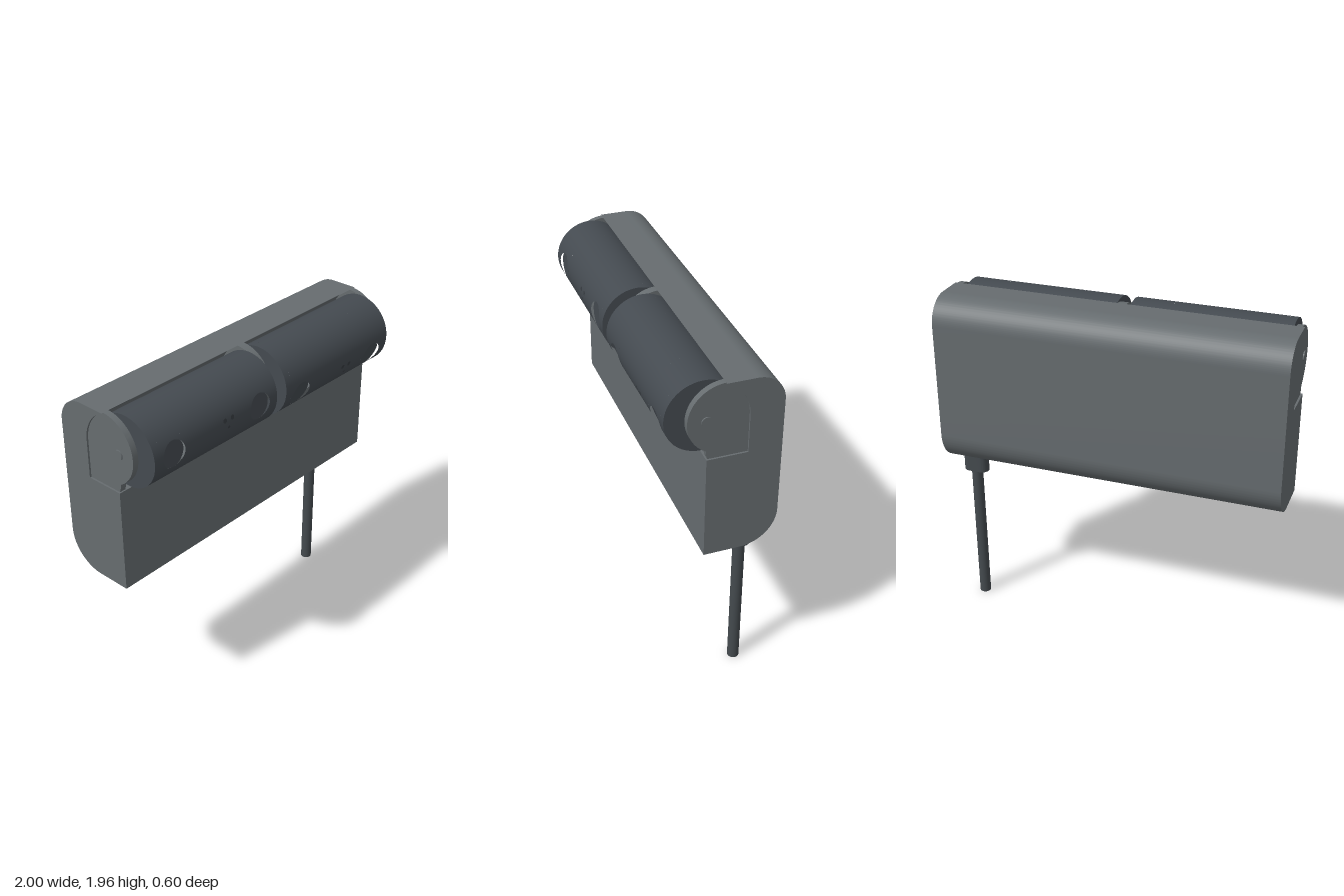
import * as THREE from 'three';
import { toCreasedNormals, mergeGeometries } from 'three/addons/utils/BufferGeometryUtils.js';

const R = 0.2;          // barrel radius
const LENS = 0.075;     // lens recess radius
const PATCH_X = 0.09;   // half width of the barrel patch around a lens
const PATCH_A = 0.45;   // half angle of that patch
const AXIS_Y = 1.76, AXIS_Z = 0.1;

const std = (name, color, side = THREE.FrontSide) => {
  const m = new THREE.MeshStandardMaterial({ color, side });
  m.name = name;
  return m;
};

// Extrude a (z, y) profile along x, centred on x
function extrudeX(shape, width, x = 0) {
  const g = new THREE.ExtrudeGeometry(shape, { depth: width, bevelEnabled: false, curveSegments: 24 });
  g.translate(0, 0, -width / 2).rotateY(-Math.PI / 2).translate(x, 0, 0);
  return toCreasedNormals(g, 0.5);
}

// Cylinder along x between x0 and x1; angle 0 faces the front
function barrel(r, x0, x1, open = true, a0 = 0, sweep = Math.PI * 2) {
  const g = new THREE.CylinderGeometry(r, r, x1 - x0, 64, 1, open, a0, sweep);
  return g.rotateZ(Math.PI / 2).translate((x0 + x1) / 2, 0, 0);
}

// Grid surface from fn(i, j) -> { p, n }
function grid(rows, cols, fn) {
  const pos = [], nor = [], uv = [], idx = [];
  for (let i = 0; i <= rows; i++) for (let j = 0; j <= cols; j++) {
    const { p, n } = fn(i / rows, j / cols);
    pos.push(...p); nor.push(...n); uv.push(i / rows, j / cols);
    if (i < rows && j < cols) {
      const a = i * (cols + 1) + j, b = a + cols + 1;
      idx.push(a, b, a + 1, b, b + 1, a + 1);
    }
  }
  const g = new THREE.BufferGeometry();
  g.setAttribute('position', new THREE.Float32BufferAttribute(pos, 3));
  g.setAttribute('normal', new THREE.Float32BufferAttribute(nor, 3));
  g.setAttribute('uv', new THREE.Float32BufferAttribute(uv, 2));
  g.setIndex(idx);
  return g;
}

// Curved patch with a round hole, its wall and its flat floor
function lensRecess(x) {
  const floorZ = Math.sqrt(R * R - LENS * LENS);
  const skin = grid(6, 64, (t, v) => {
    const a = v * Math.PI * 2, c = Math.cos(a), s = Math.sin(a);
    const m = Math.max(Math.abs(c), Math.abs(s));
    const u = THREE.MathUtils.lerp(LENS * c, PATCH_X * c / m, t);
    const th = THREE.MathUtils.lerp(Math.asin(LENS * s / R), PATCH_A * s / m, t);
    return { p: [x + u, R * Math.sin(th), R * Math.cos(th)], n: [0, Math.sin(th), Math.cos(th)] };
  });
  const wall = grid(1, 64, (t, v) => {
    const a = v * Math.PI * 2, c = Math.cos(a), s = Math.sin(a);
    const top = Math.sqrt(R * R - (LENS * s) ** 2);
    return { p: [x + LENS * c, LENS * s, THREE.MathUtils.lerp(floorZ, top, t)], n: [-c, -s, 0] };
  });
  // turn the wall to face the inside of the recess
  const w = wall.index.array;
  for (let i = 0; i < w.length; i += 3) [w[i], w[i + 1]] = [w[i + 1], w[i]];
  const floor = new THREE.CircleGeometry(LENS, 64).translate(x, 0, floorZ);
  const back = barrel(R, x - PATCH_X, x + PATCH_X, true, PATCH_A, Math.PI * 2 - 2 * PATCH_A);
  return [skin, wall, floor, back];
}

export function createModel() {
  const model = new THREE.Group();
  model.name = 'twinBarrelUnit';
  const bodyGrey = std('body grey', 0x666c6f);
  const barrelGrey = std('barrel dark grey', 0x444a50);
  const cableGrey = std('cable dark grey', 0x444a4e);
  const holeGrey = std('pinhole grey', 0x363b40);

  const add = (name, geo, mat, parent = model) => {
    const mesh = new THREE.Mesh(geo, mat);
    mesh.name = name;
    parent.add(mesh);
    return mesh;
  };

  // Housing with rounded back and a cradle for the barrels
  const body = new THREE.Shape();
  body.moveTo(0.1, 0.94);
  body.lineTo(0.1, 1.54);
  body.lineTo(-0.12, 1.54);
  body.lineTo(-0.12, AXIS_Y);
  body.absarc(AXIS_Z, AXIS_Y, 0.22, Math.PI, Math.PI - Math.asin(0.2 / 0.22), true);
  body.lineTo(-0.15, 1.96);
  body.absarc(-0.15, 1.81, 0.15, Math.PI / 2, Math.PI, false);
  body.lineTo(-0.3, 1.14);
  body.absarc(-0.1, 1.14, 0.2, Math.PI, Math.PI * 1.5, false);
  body.closePath();
  add('housing', extrudeX(body, 2), bodyGrey);

  // Brackets holding the barrels
  const bracket = new THREE.Shape();
  bracket.moveTo(-0.13, 1.535);
  bracket.lineTo(0.09, 1.535);
  bracket.lineTo(0.1, 1.57);
  bracket.absarc(0, AXIS_Y, R, -Math.PI / 3, Math.PI / 2, false);
  bracket.lineTo(-0.13, 1.95);
  bracket.closePath();
  add('middleBracket', extrudeX(bracket, 0.05), bodyGrey);
  for (const s of [-1, 1]) {
    const side = s < 0 ? 'right' : 'left';
    add(side + 'Bracket', extrudeX(bracket, 0.035, s * 0.972), bodyGrey);
    const cap = add(side + 'PivotCap', barrel(0.028, -0.008, 0.008, false), bodyGrey);
    cap.position.set(s * 0.988, AXIS_Y, AXIS_Z);
  }

  // Pivot shaft through the brackets
  const shaft = add('pivotShaft', barrel(0.03, -0.96, 0.96, false), bodyGrey);
  shaft.position.set(0, AXIS_Y, AXIS_Z);

  // Two tilting barrels, each with two lens recesses and three pinholes
  const half = 0.45, lensX = 0.316;
  const dots = [[0.047, 0.03, 0.013], [0.102, 0.03, 0.013], [0.075, -0.015, 0.008]];
  for (const [name, x, tilt] of [['rightBarrel', -0.49, 0], ['leftBarrel', 0.486, 0.36]]) {
    const g = new THREE.Group();
    g.name = name;
    g.position.set(x, AXIS_Y, AXIS_Z);
    g.rotation.x = tilt;
    model.add(g);
    const shell = mergeGeometries([
      barrel(R, -half, -lensX - PATCH_X),
      barrel(R, -lensX + PATCH_X, lensX - PATCH_X),
      barrel(R, lensX + PATCH_X, half),
      ...lensRecess(-lensX), ...lensRecess(lensX),
      new THREE.CircleGeometry(R, 64).rotateY(Math.PI / 2).translate(half, 0, 0),
      new THREE.CircleGeometry(R, 64).rotateY(-Math.PI / 2).translate(-half, 0, 0),
    ]);
    add('barrelShell', shell, barrelGrey, g);
    for (const [dx, dy, r] of dots) {
      const dot = new THREE.CircleGeometry(r, 20).translate(0, 0, R + 0.001);
      dot.rotateX(-Math.asin(dy / R)).translate(dx, 0, 0);
      add('pinhole', dot, holeGrey, g);
    }
  }

  // Cable with an oval strain relief under the housing
  const oval = new THREE.Shape();
  oval.absarc(0.035, 0, 0.04, -Math.PI / 2, Math.PI / 2, false);
  oval.absarc(-0.035, 0, 0.04, Math.PI / 2, Math.PI * 1.5, false);
  const relief = new THREE.ExtrudeGeometry(oval, { depth: 0.12, bevelEnabled: false, curveSegments: 16 });
  relief.rotateX(-Math.PI / 2).translate(0.855, 0.87, -0.16);
  add('strainRelief', toCreasedNormals(relief, 0.5), cableGrey);
  add('cable', new THREE.CylinderGeometry(0.033, 0.033, 0.9, 32).translate(0.855, 0.45, -0.16), cableGrey);

  return model;
}
